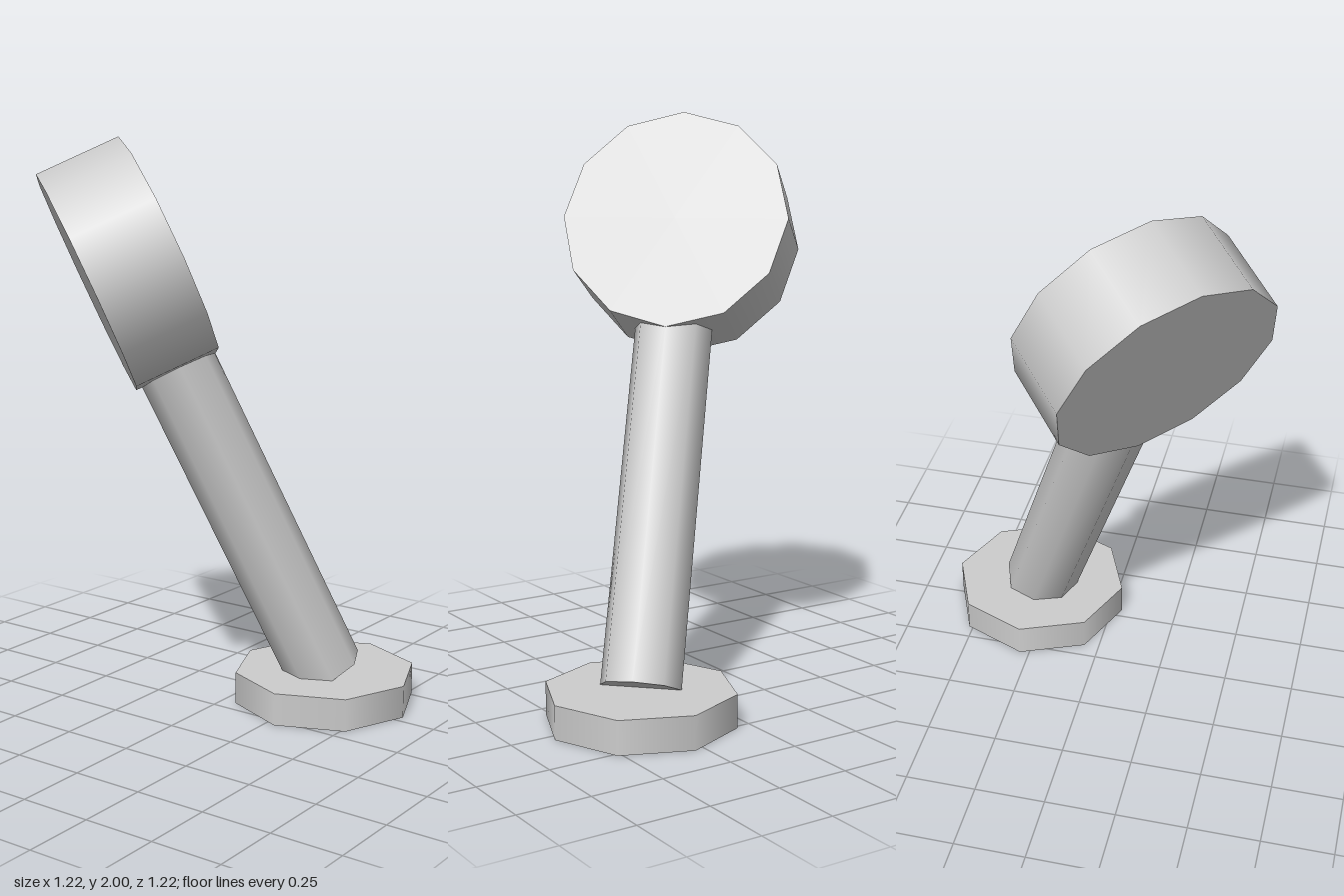
import * as THREE from 'three';

export function createModel() {
  const model = new THREE.Group();
  const grey = new THREE.MeshStandardMaterial({ color: 0xcccccc });
  grey.name = 'light grey';

  // Everything is symmetric about one diagonal plane, so parts are placed
  // in a turned group where local +z is the direction of the lean.
  const lamp = new THREE.Group();
  lamp.name = 'leaningLamp';
  lamp.rotation.y = -Math.PI / 4;
  model.add(lamp);

  const addCylinder = (name, radius, height, sides, y, z, tiltDegrees) => {
    const mesh = new THREE.Mesh(new THREE.CylinderGeometry(radius, radius, height, sides), grey);
    mesh.name = name;
    mesh.position.set(0, y, z);
    mesh.rotation.x = THREE.MathUtils.degToRad(tiltDegrees);
    lamp.add(mesh);
    return mesh;
  };

  // Octagonal foot
  const baseHeight = 0.115;
  addCylinder('base', 0.325, baseHeight, 8, baseHeight / 2, -0.403, 0);

  // Leaning pole, from the top of the base into the head
  const lean = 25.4;
  const length = 1.28;
  const a = THREE.MathUtils.degToRad(lean);
  addCylinder('pole', 0.138, length, 8,
    baseHeight + Math.cos(a) * length / 2, -0.4 + Math.sin(a) * length / 2, lean);

  // Twelve-sided drum head, facing forward and slightly down
  addCylinder('head', 0.4, 0.3, 12, 1.575, 0.294, 90 + 24);

  return model;
}
